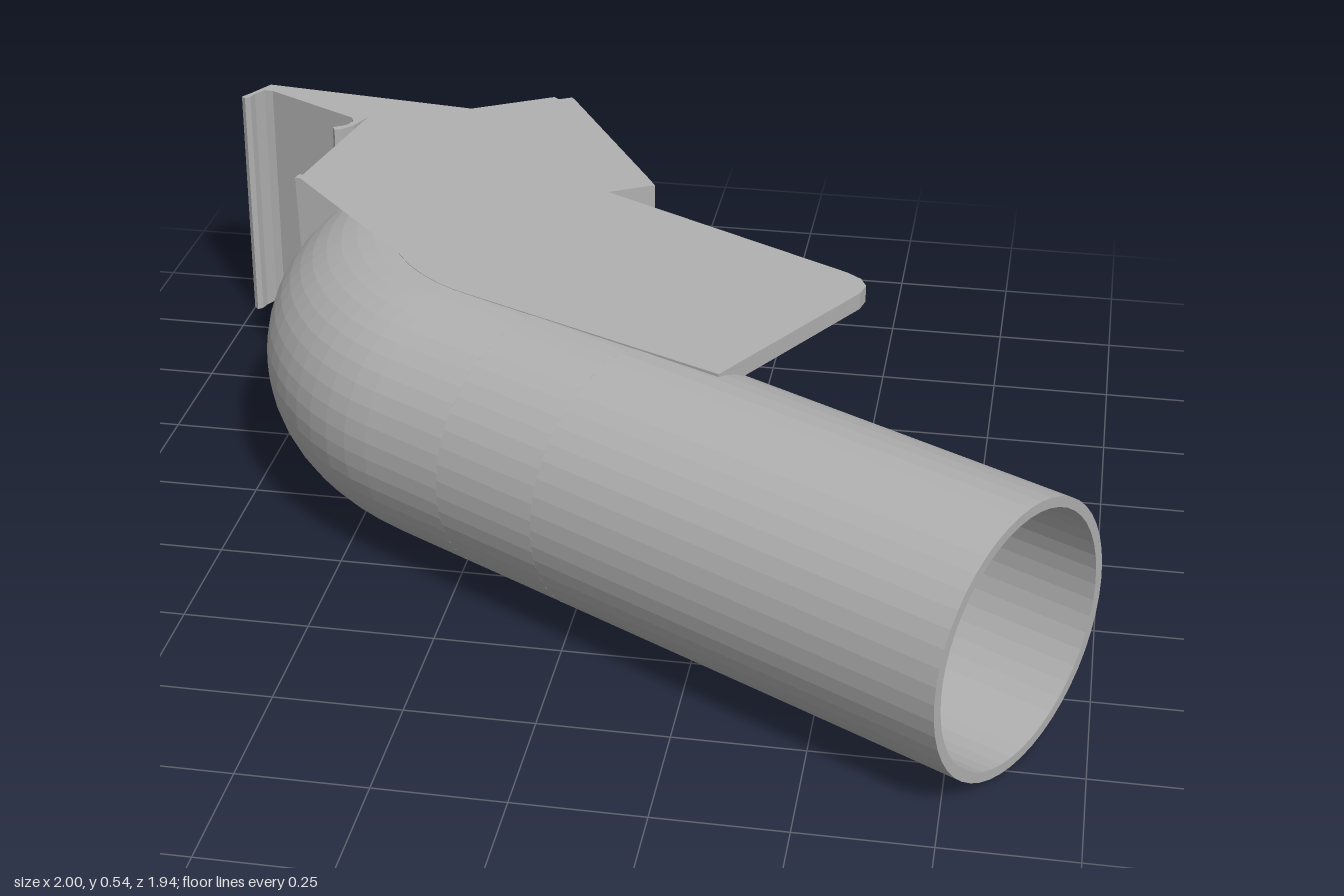
import * as THREE from 'three';

const DEG = Math.PI / 180;
const CX = -0.09, CZ = -0.29;   // centre of the bend in plan
const BEND = 0.41, MID = 0.267; // bend radius, axis height
const R_OUT = 0.267, R_IN = 0.247, H = 0.535;

// Frame on the pipe axis: x points into the bend, y up, z back along the pipe.
// theta runs round the bend, s shifts the origin along the straight.
function frame(theta, s = 0) {
  const c = Math.cos(theta * DEG), n = Math.sin(theta * DEG);
  const U = new THREE.Vector3(-c, 0, -n), Y = new THREE.Vector3(0, 1, 0);
  const D = new THREE.Vector3(n, 0, -c);
  const O = new THREE.Vector3(CX + BEND * c, 0, CZ + BEND * n).addScaledVector(D, s);
  return new THREE.Matrix4().makeBasis(U, Y, D).setPosition(O);
}

// Hollow pipe shell through the frames, spanning the section angles a to b
function shell(frames, a, b) {
  const n = Math.ceil((b - a) / 7.5), loop = [];
  const add = (r, i) => {
    const f = (a + (b - a) * i / n) * DEG;
    loop.push(new THREE.Vector3(r * Math.cos(f), MID + r * Math.sin(f), 0));
  };
  for (let i = 0; i <= n; i++) add(R_OUT, i);
  for (let i = n; i >= 0; i--) add(R_IN, i);
  const m = loop.length, pos = [], idx = [];
  for (const f of frames) for (const p of loop) pos.push(...p.clone().applyMatrix4(f).toArray());
  const quad = (p, q, r, s) => idx.push(p, q, r, p, r, s);
  for (let k = 0; k < frames.length - 1; k++) {
    for (let j = 0; j < m; j++) {
      const j2 = (j + 1) % m;
      quad(k * m + j, k * m + j2, (k + 1) * m + j2, (k + 1) * m + j);
    }
  }
  const e = (frames.length - 1) * m;
  for (let j = 0; j < n; j++) {
    const i = m - 1 - j;
    quad(j, i, i - 1, j + 1);
    quad(e + j, e + j + 1, e + i - 1, e + i);
  }
  const g = new THREE.BufferGeometry();
  g.setAttribute('position', new THREE.Float32BufferAttribute(pos, 3));
  g.setIndex(idx);
  const flat = g.toNonIndexed();
  flat.computeVertexNormals();
  return flat;
}

function makeShape(points, holes = []) {
  const shape = new THREE.Shape(points.map(([x, y]) => new THREE.Vector2(x, y)));
  for (const [x, y, r] of holes) shape.holes.push(new THREE.Path().absarc(x, y, r, 0, Math.PI * 2, true));
  return shape;
}

const extrude = (shape, depth) =>
  new THREE.ExtrudeGeometry(shape, { depth, bevelEnabled: false, curveSegments: 16 });

// Horizontal slab from plan points (x, z) and round holes (x, z, radius)
function slab(points, y0, y1, holes = []) {
  const shape = makeShape(points.map(([x, z]) => [x, -z]), holes.map(([x, z, r]) => [x, -z, r]));
  return extrude(shape, y1 - y0).rotateX(-Math.PI / 2).translate(0, y0, 0);
}

// Points on an arc, angles in degrees
function arc(cx, cy, r, a, b, n) {
  return Array.from({ length: n + 1 }, (_, i) => {
    const t = (a + (b - a) * i / n) * DEG;
    return [cx + r * Math.cos(t), cy + r * Math.sin(t)];
  });
}

export function createModel() {
  const group = new THREE.Group();
  const grey = new THREE.MeshStandardMaterial({ color: 0xb0b0b0, flatShading: true });
  grey.name = 'grey plastic';
  const add = (name, geometry, matrix) => {
    if (matrix) geometry.applyMatrix4(matrix);
    const mesh = new THREE.Mesh(geometry, grey);
    mesh.name = name;
    group.add(mesh);
  };

  // Pipe: full straight, slotted length, then the bend open on its inner side
  add('straightPipe', shell([frame(120, 0.43), frame(120, 1.34)], 0, 360));
  add('slottedPipe', shell([frame(120, 0.19), frame(120, 0.43)], 5, 332));
  const bend = Array.from({ length: 25 }, (_, i) => frame(240 - 5 * i));
  add('openBend', shell([...bend, frame(120, 0.19)], 45, 315));

  // Top mounting plate, its hidden edge following the pipe crest
  const mouthEdge = [[-0.47, -0.868], [-0.295, -0.972], [-0.275, -0.952], [-0.25, -0.97], [0, -0.535], [-0.105, -0.475]];
  const sideEdge = [[-0.745, -0.42], [-0.685, -0.78]];
  add('topPlate', slab([
    ...sideEdge, ...mouthEdge,
    [0.46, -0.15], [0.49, -0.125], [0.503, -0.095], [0.495, -0.06], [0.27, 0.335],
    ...arc(CX, CZ, BEND, 120, 191, 10),
  ], 0.5, H, [
    [CX, CZ, 0.085], [-0.175, -0.5, 0.018], [0.02, -0.23, 0.025], [0.15, -0.265, 0.02], [0.05, -0.095, 0.02],
  ]));

  // Smaller bottom plate
  add('bottomPlate', slab([...sideEdge, ...mouthEdge, [-0.53, -0.38]], 0, 0.035, [[-0.175, -0.5, 0.018]]));

  // Full-height side wall with the tapered fin and its two clip hooks
  add('sideWallAndFin', slab([
    ...sideEdge,
    [-0.705, -0.725], [-0.725, -0.7], [-0.74, -0.693], [-0.748, -0.708], [-0.722, -0.725], [-0.712, -0.75], [-0.72, -0.77],
    [-0.94, -0.895], [-0.96, -0.897], [-0.975, -0.87], [-0.98, -0.85], [-0.99, -0.84], [-1, -0.85], [-0.987, -0.87],
    [-0.955, -0.933], [-0.47, -0.87], [-0.43, -0.875],
    ...arc(CX, CZ, 0.66, 240, 191, 14),
  ], 0, H));

  // Paired pieces above and below the pipe axis
  const lip = [[-0.25, H], [-0.25, 0.47], ...arc(0, MID, R_IN, 125, 47, 12), [0.267, 0.45], [0.267, H]];
  const corner = [[-0.267, H], ...arc(0, MID, 0.257, 180, 90, 12), [0, H]];
  const mouth = frame(240, -0.2);
  for (const [side, flip] of [['upper', false], ['lower', true]]) {
    const place = pts => makeShape(pts.map(([u, y]) => [u, flip ? H - y : y]));
    add(side + 'MouthLip', extrude(place(lip), 0.2), mouth);
    add(side + 'MouthCorner', extrude(place(corner), 0.01), frame(240));
    add(side + 'FrontCorner', extrude(place(corner), 0.02).translate(0, 0, -0.02), frame(191));
  }

  // Mouth wall with two screw holes
  const wall = makeShape([[0, 0], [0.2, 0], [0.2, H], [0, H]], [[0.11, 0.13, 0.015], [0.11, 0.41, 0.015]]);
  add('mouthWall', extrude(wall, 0.018).rotateY(-Math.PI / 2).translate(-0.249, 0, 0), mouth);

  return group;
}
